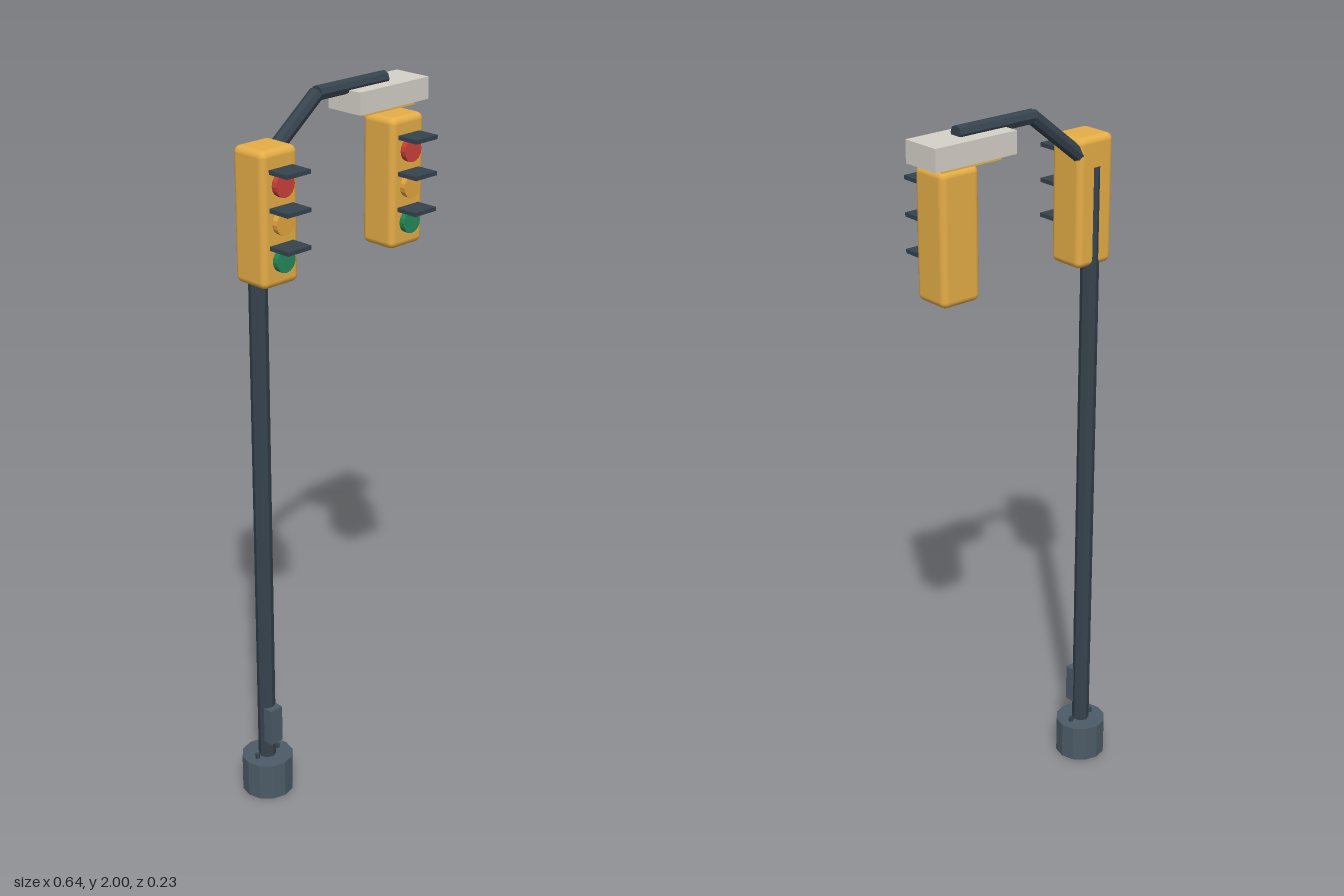
import * as THREE from 'three';
import { RoundedBoxGeometry } from 'three/addons/geometries/RoundedBoxGeometry.js';

const mat = (color, flatShading = true) => {
  const m = new THREE.MeshStandardMaterial({ color });
  m.flatShading = flatShading;
  return m;
};

export function createModel() {
  const group = new THREE.Group();
  const dark = mat(0x36434d), steel = mat(0x4c5b67), grey = mat(0xd5d1c8);
  const yellow = mat(0xe5ad47, false);
  const lensMats = [mat(0xcc4038), mat(0xe3a63f), mat(0x23895a)];

  const add = (parent, name, geometry, material, x, y, z) => {
    const mesh = new THREE.Mesh(geometry, material);
    mesh.name = name;
    mesh.position.set(x, y, z);
    parent.add(mesh);
    return mesh;
  };

  const poleX = -0.245, poleZ = -0.042, poleTop = 1.815;

  // Footing, anchor bolts, pole and access hatch
  add(group, 'base', new THREE.CylinderGeometry(0.073, 0.073, 0.11, 12), steel, poleX, 0.055, poleZ);
  for (const side of [-1, 1]) {
    add(group, 'anchorBolt', new THREE.CylinderGeometry(0.007, 0.007, 0.02, 6), dark,
      poleX + side * 0.038, 0.113, poleZ);
  }
  add(group, 'pole', new THREE.CylinderGeometry(0.025, 0.025, poleTop - 0.1, 8), dark,
    poleX, (poleTop + 0.1) / 2, poleZ);
  add(group, 'accessHatch', new THREE.BoxGeometry(0.042, 0.11, 0.03), steel, poleX, 0.22, -0.015);

  // Bent arm made of two straight tubes
  const armPoints = [[poleX, poleTop], [-0.035, 1.98], [0.208, 1.98]]
    .map(([x, y]) => new THREE.Vector3(x, y, poleZ));
  for (let i = 0; i < 2; i++) {
    const a = armPoints[i], b = armPoints[i + 1];
    const dir = b.clone().sub(a);
    const mid = a.clone().add(b).multiplyScalar(0.5);
    const tube = add(group, 'arm', new THREE.CylinderGeometry(0.02, 0.02, dir.length(), 8), dark,
      mid.x, mid.y, mid.z);
    tube.quaternion.setFromUnitVectors(new THREE.Vector3(0, 1, 0), dir.normalize());
  }

  // Street lamp housing with a glowing panel below
  add(group, 'lampHousing', new THREE.BoxGeometry(0.254, 0.059, 0.114), grey, 0.191, 1.9445, -0.043);
  add(group, 'lampPanel', new THREE.BoxGeometry(0.184, 0.014, 0.08), mat(0xe5b54f), 0.191, 1.911, -0.043);

  // Signal heads with three hooded lenses each
  for (const x of [poleX, 0.209]) {
    const head = new THREE.Group();
    head.name = 'signalHead';
    head.position.set(x, 1.721, -0.007);
    group.add(head);
    add(head, 'signalHousing', new RoundedBoxGeometry(0.121, 0.351, 0.111, 4, 0.018), yellow, 0, 0, 0);
    lensMats.forEach((lensMat, i) => {
      const y = 0.087 - i * 0.096;
      const lens = add(head, 'lens', new THREE.CylinderGeometry(0.031, 0.031, 0.024, 16), lensMat, 0, y, 0.06);
      lens.rotation.x = Math.PI / 2;
      add(head, 'visor', new THREE.BoxGeometry(0.079, 0.011, 0.07), dark, 0, y + 0.037, 0.085);
    });
  }
  return group;
}
